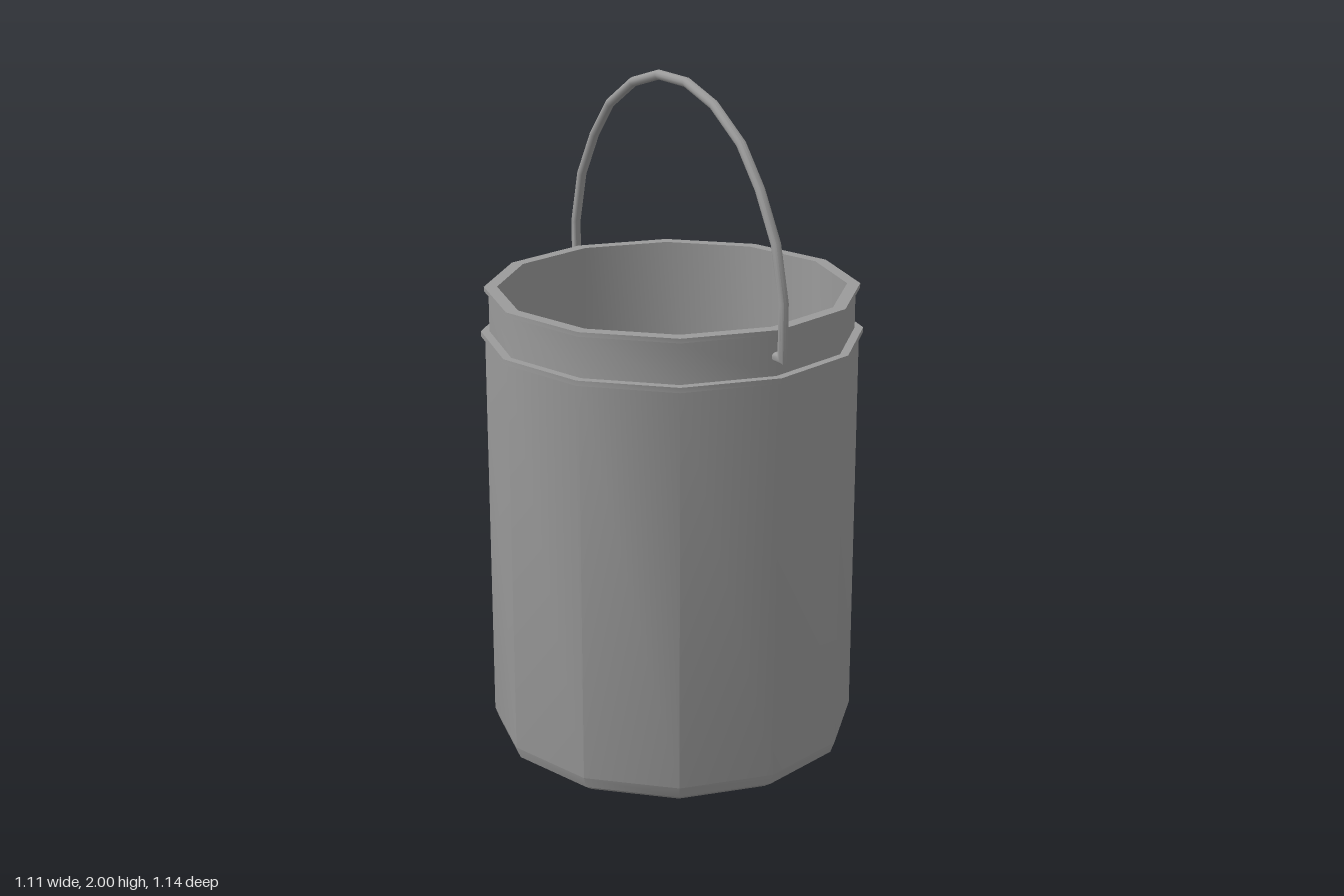
import * as THREE from 'three';
import { toCreasedNormals } from 'three/addons/utils/BufferGeometryUtils.js';

const material = new THREE.MeshStandardMaterial({ color: 0x9b9b9b });

function addMesh(group, name, geometry) {
  const mesh = new THREE.Mesh(geometry, material);
  mesh.name = name;
  group.add(mesh);
}

// Twelve-sided turned part: smooth around, sharp along profile corners
function turned(profile) {
  const points = profile.map(([r, y]) => new THREE.Vector2(r, y));
  return toCreasedNormals(new THREE.LatheGeometry(points, 12), 0.55);
}

// Round rod with mitred joints along a path of [z, y] points
function rod(path, radius, sides) {
  const pts = path.map(([z, y]) => new THREE.Vector3(0, y, z));
  const across = new THREE.Vector3(1, 0, 0);
  const positions = [], index = [];
  pts.forEach((p, i) => {
    const before = p.clone().sub(pts[Math.max(i - 1, 0)]).normalize();
    const after = pts[Math.min(i + 1, pts.length - 1)].clone().sub(p).normalize();
    const tangent = before.clone().add(after).normalize();
    const inner = i > 0 && i < pts.length - 1;
    const stretch = inner ? 1 / tangent.dot(after) : 1;
    const up = new THREE.Vector3().crossVectors(tangent, across);
    for (let k = 0; k < sides; k++) {
      const a = (k / sides) * Math.PI * 2;
      const v = p.clone()
        .addScaledVector(across, Math.cos(a) * radius)
        .addScaledVector(up, Math.sin(a) * radius * stretch);
      positions.push(v.x, v.y, v.z);
      if (i < pts.length - 1) {
        const n = (k + 1) % sides, r = i * sides, s = r + sides;
        index.push(r + k, r + n, s + k, r + n, s + n, s + k);
      }
    }
  });
  // End caps
  const last = (pts.length - 1) * sides;
  for (let k = 1; k < sides - 1; k++) {
    index.push(0, k + 1, k, last, last + k, last + k + 1);
  }
  const geometry = new THREE.BufferGeometry();
  geometry.setAttribute('position', new THREE.Float32BufferAttribute(positions, 3));
  geometry.setIndex(index);
  return toCreasedNormals(geometry, 0.85);
}

export function createModel() {
  const group = new THREE.Group();
  group.name = 'bucket';

  // Outer wall with chamfered foot, stepped neck, rim lip, inner wall and floor
  addMesh(group, 'bucketBody', turned([
    [0, 0], [0.5, 0], [0.53, 0.02], [0.543, 0.055],
    [0.543, 1.25], [0.53, 1.25], [0.53, 1.375],
    [0.543, 1.375], [0.543, 1.388], [0.505, 1.388],
    [0.505, 0.03], [0, 0.03],
  ]));

  // Raised band below the neck
  addMesh(group, 'shoulderBand', turned([
    [0.525, 1.24], [0.555, 1.24], [0.555, 1.255], [0.525, 1.255],
  ]));

  // Bail handle: half the path, mirrored front to back
  const half = [
    [0.515, 1.31], [0.558, 1.31], [0.558, 1.465], [0.518, 1.62],
    [0.439, 1.754], [0.347, 1.861], [0.212, 1.945], [0.073, 1.986],
  ];
  const otherHalf = half.map(([z, y]) => [-z, y]).reverse();
  addMesh(group, 'handle', rod([...half, ...otherHalf], 0.014, 12));

  return group;
}
